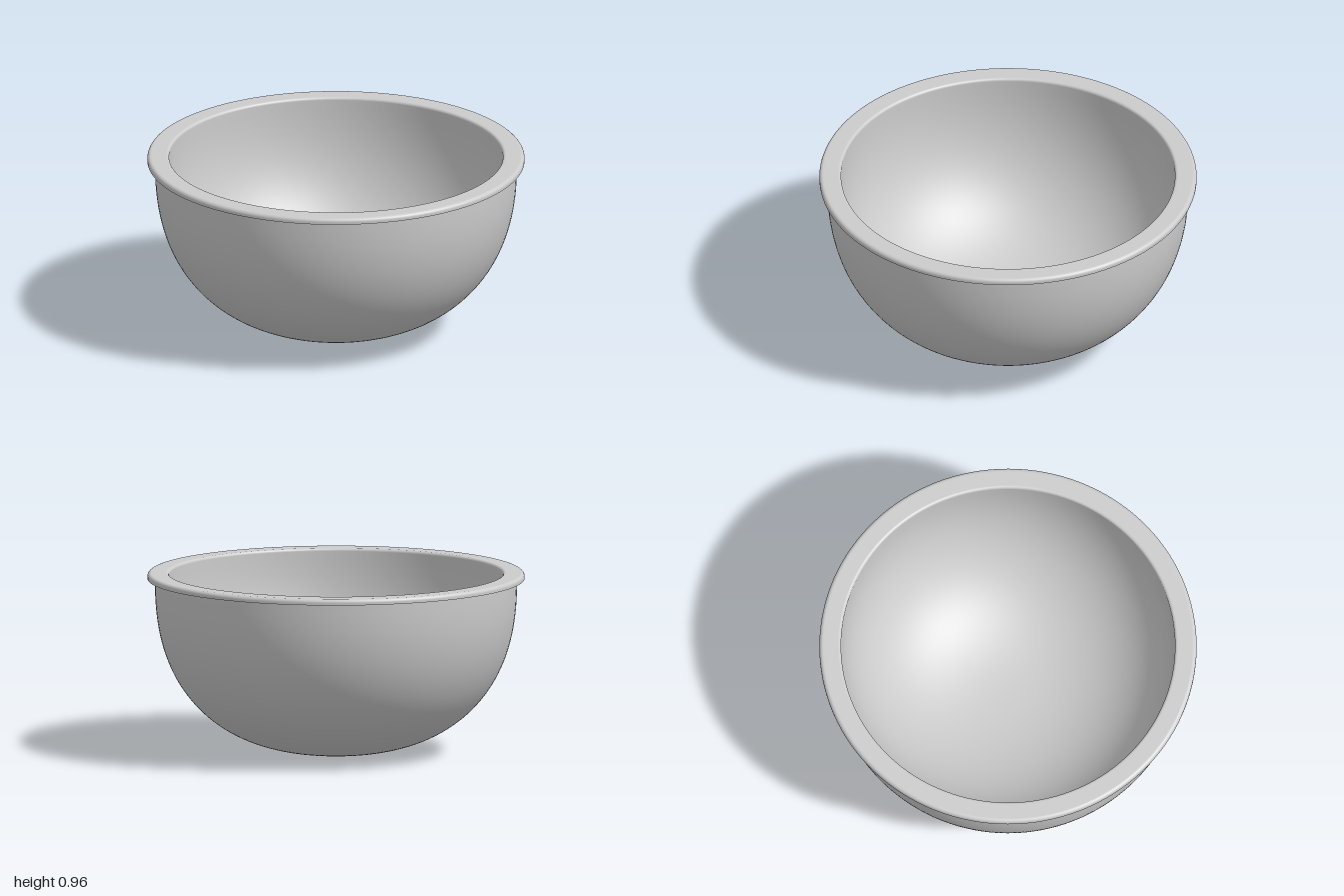
import * as THREE from 'three';

const SEGMENTS = 128;

// Superellipse quarter from the axis (y = base) up to the widest radius (y = top)
function bowlCurve(radius, base, top, power, steps = 48) {
  const points = [];
  for (let i = 0; i <= steps; i++) {
    const t = (i / steps) * Math.PI / 2;
    const x = i === 0 ? 0 : radius * Math.pow(Math.sin(t), 2 / power);
    const c = i === steps ? 0 : Math.pow(Math.cos(t), 2 / power);
    points.push(new THREE.Vector2(x, top - (top - base) * c));
  }
  return points;
}

// Rounded corner sweeping counter-clockwise between two angles
function corner(cx, cy, r, from, to, steps = 8) {
  const points = [];
  for (let i = 0; i <= steps; i++) {
    const a = from + (to - from) * i / steps;
    points.push(new THREE.Vector2(cx + r * Math.cos(a), cy + r * Math.sin(a)));
  }
  return points;
}

export function createModel() {
  const group = new THREE.Group();
  group.name = 'mixingBowl';
  const material = new THREE.MeshStandardMaterial({ color: 0xcccccc, side: THREE.DoubleSide });

  const addLathe = (name, points) => {
    const mesh = new THREE.Mesh(new THREE.LatheGeometry(points, SEGMENTS), material);
    mesh.name = name;
    group.add(mesh);
  };

  // Outer wall, from the base up to the lip
  addLathe('outerWall', bowlCurve(0.96, 0, 0.935, 2.4));

  // Flat underside of the overhanging lip
  addLathe('lipUnderside', [new THREE.Vector2(0.96, 0.933), new THREE.Vector2(1, 0.933)]);

  // Lip edge, flat top and softened inner edge
  addLathe('rim', [
    new THREE.Vector2(1, 0.933),
    ...corner(0.98, 0.945, 0.02, 0, Math.PI / 2),
    new THREE.Vector2(0.975, 0.965),
    new THREE.Vector2(0.905, 0.965),
    ...corner(0.9, 0.95, 0.015, Math.PI / 2, Math.PI),
  ]);

  // Inner wall, from the rim down to the middle of the floor
  addLathe('innerWall', bowlCurve(0.885, 0.075, 0.95, 2.4).reverse());

  return group;
}
